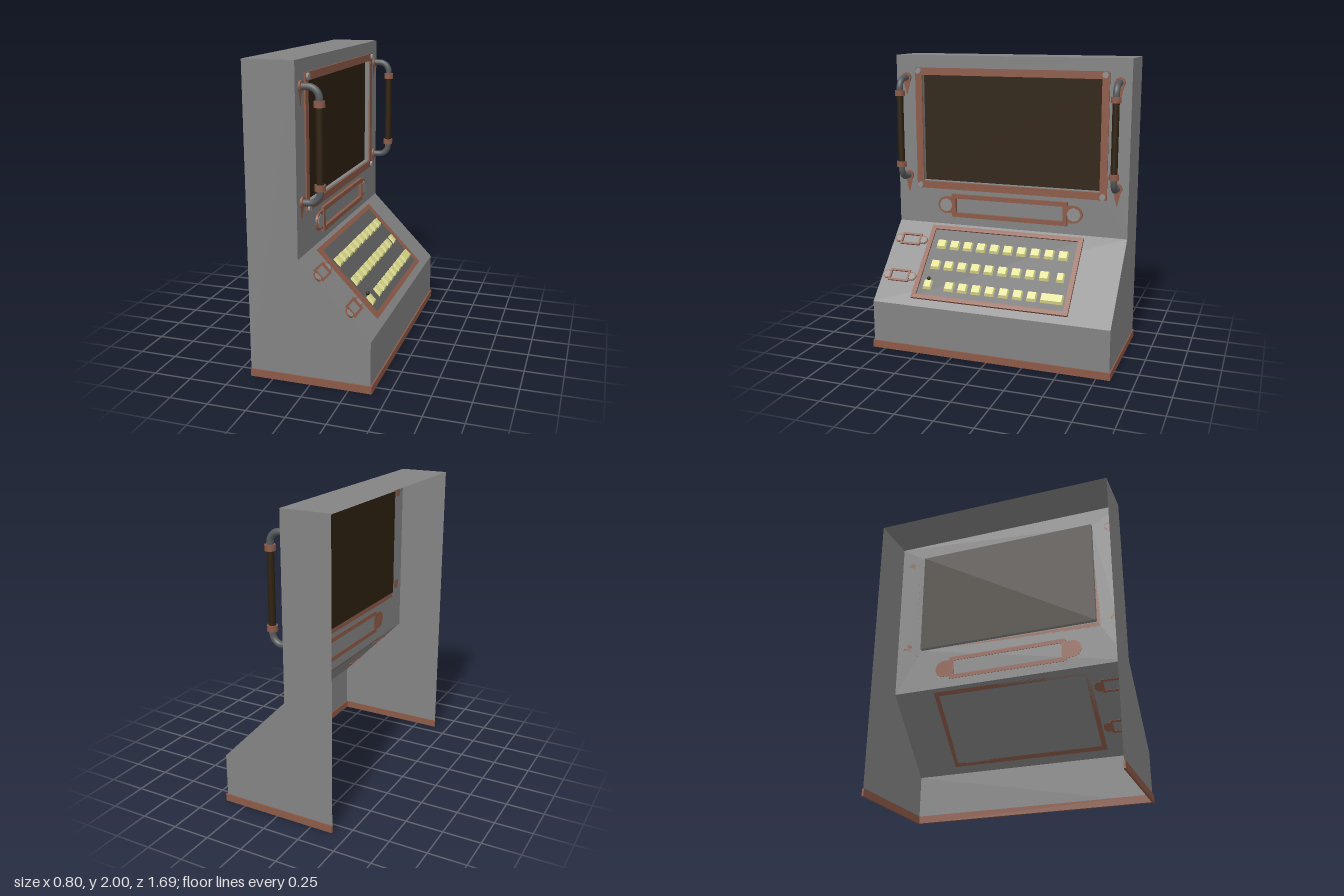
import * as THREE from 'three';

const mat = (name, color, double) => {
  const m = new THREE.MeshStandardMaterial({ color });
  m.name = name;
  if (double) m.side = THREE.DoubleSide;
  return m;
};

export function createModel() {
  const casing = mat('casing grey', 0x838383, true);
  const copper = mat('copper trim', 0x8c5a48, true);
  const glass = mat('dark brown', 0x2e2110, true);
  const bed = mat('key bed grey', 0x5c5c5c);
  const keyColor = mat('key cream', 0xdad88a);
  const pipe = mat('pipe steel', 0x55585a);
  const steel = mat('screw grey', 0x8e8e8e);

  const model = new THREE.Group();
  model.name = 'terminal';
  const add = (parent, name, geo, material, x = 0, y = 0, z = 0) => {
    const m = new THREE.Mesh(geo, material);
    m.name = name;
    m.position.set(x, y, z);
    parent.add(m);
    return m;
  };
  const box = (w, h, d) => new THREE.BoxGeometry(w, h, d);
  const rect = (T, x0, y0, x1, y1) => {
    const s = new T();
    s.moveTo(x0, y0).lineTo(x1, y0).lineTo(x1, y1).lineTo(x0, y1).closePath();
    return s;
  };
  const extrude = (shape, depth) =>
    new THREE.ExtrudeGeometry(shape, { depth, bevelEnabled: false, curveSegments: 10 });
  // Flat cylinder whose axis points out of a panel
  const disc = (r, h, sides) => new THREE.CylinderGeometry(r, r, h, sides).rotateX(Math.PI / 2);
  // Rectangular ring lying on a panel
  const ring = (x0, y0, x1, y1, bx, by, depth) => {
    const s = rect(THREE.Shape, x0, y0, x1, y1);
    s.holes.push(rect(THREE.Path, x0 + bx, y0 + by, x1 - bx, y1 - by));
    return extrude(s, depth);
  };

  // Panel groups: local x runs to -z, local y up the panel, local z outwards
  const W = 0.835, W2 = W * 2;
  const panel = (name, x, y, up) => {
    const g = new THREE.Group();
    const right = new THREE.Vector3(0, 0, -1);
    const out = right.clone().cross(up);
    g.quaternion.setFromRotationMatrix(new THREE.Matrix4().makeBasis(right, up, out));
    g.position.set(x, y, 0);
    g.name = name;
    model.add(g);
    return g;
  };
  const upright = new THREE.Vector3(0, 1, 0);
  const slopeUp = new THREE.Vector3(-0.46, 0.475, 0);
  const slopeLen = slopeUp.length();
  slopeUp.normalize();
  const wall = panel('screenWall', -0.07, 0, upright);
  const slope = panel('keyboardSlope', 0.39, 0.335, slopeUp);
  const v = y => (y - 0.335) / slopeUp.y; // height to distance up the slope

  // Casing: two profile sides, top, apron, slope and a pierced wall; back and bottom open
  const side = new THREE.Shape([[-0.4, 0], [0.39, 0], [0.39, 0.335], [-0.07, 0.81], [-0.07, 2], [-0.4, 2]]
    .map(p => new THREE.Vector2(...p)));
  add(model, 'leftSide', new THREE.ShapeGeometry(side), casing, 0, 0, W);
  const far = new THREE.ShapeGeometry(side).scale(-1, 1, 1).rotateY(Math.PI);
  add(model, 'rightSide', far, casing, 0, 0, -W);
  add(model, 'top', new THREE.PlaneGeometry(0.33, W2).rotateX(-Math.PI / 2), casing, -0.235, 2, 0);
  add(model, 'apron', new THREE.PlaneGeometry(W2, 0.335).rotateY(Math.PI / 2), casing, 0.39, 0.1675, 0);
  add(slope, 'slopePanel', new THREE.PlaneGeometry(W2, slopeLen), casing, 0, slopeLen / 2, 0);
  const front = rect(THREE.Shape, -W, 0.81, W, 2);
  front.holes.push(rect(THREE.Path, -0.64, 1.12, 0.64, 1.87));
  add(wall, 'frontWall', new THREE.ShapeGeometry(front), casing);

  // Base trim
  add(model, 'frontTrim', box(0.018, 0.05, 1.686), copper, 0.391, 0.025, 0);
  for (const s of [-1, 1]) add(model, 'sideTrim', box(0.8, 0.05, 0.014), copper, 0, 0.025, s * 0.836);

  // Recessed screen with its reveal, frame and corner screws
  add(wall, 'screen', new THREE.PlaneGeometry(1.28, 0.75), glass, 0, 1.495, -0.03);
  for (const s of [-1, 1]) {
    add(wall, 'screenReveal', new THREE.PlaneGeometry(0.03, 0.75).rotateY(-s * Math.PI / 2), casing, s * 0.64, 1.495, -0.015);
    add(wall, 'screenReveal', new THREE.PlaneGeometry(1.28, 0.03).rotateX(s * Math.PI / 2), casing, 0, 1.495 + s * 0.375, -0.015);
    for (const t of [-1, 1]) add(wall, 'screenScrew', disc(0.021, 0.022, 8), steel, s * 0.663, 1.49 + t * 0.402, 0.014);
  }
  add(wall, 'screenFrame', ring(-0.69, 1.065, 0.69, 1.915, 0.05, 0.05, 0.01), copper);

  // Name plate: ring frame with a rounded tab and a screw at each end
  const namePlate = (parent, cx, cy, hw, hh, border, tabR, tabX, depth) => {
    const g = new THREE.Group();
    g.name = 'namePlate';
    g.position.set(cx, cy, -0.003);
    parent.add(g);
    add(g, 'plateFrame', ring(-hw, -hh, hw, hh, border, border, depth), copper);
    for (const s of [-1, 1]) {
      const tab = new THREE.Shape();
      tab.moveTo(hw - tabX, -tabR).lineTo(0, -tabR).absarc(0, 0, tabR, -Math.PI / 2, Math.PI / 2, false);
      tab.lineTo(hw - tabX, tabR).closePath();
      const m = add(g, 'plateTab', extrude(tab, depth * 0.7), copper, s * tabX);
      if (s < 0) m.rotation.z = Math.PI;
      add(g, 'plateScrew', disc(tabR * 0.8, depth * 0.2, 8), steel, s * tabX, 0, depth * 0.75);
    }
  };
  namePlate(wall, 0, 0.952, 0.422, 0.082, 0.03, 0.06, 0.468, 0.025);
  for (const y of [0.7, 0.49]) namePlate(slope, -0.702, v(y), 0.075, 0.045, 0.014, 0.032, 0.094, 0.015);

  // Keyboard bed and frame
  const v0 = v(0.375), v1 = v(0.79);
  add(slope, 'keyBed', box(1.08, v1 - v0 - 0.03, 0.006), bed, -0.01, (v0 + v1) / 2, 0.004);
  add(slope, 'keyboardFrame', ring(-0.565, v0, 0.545, v1, 0.032, 0.03, 0.018), copper);

  // Tapered keys
  const key = (x, y, w = 0.07, h = 0.068) => {
    const geo = box(w, h, 0.02);
    const p = geo.attributes.position;
    for (let i = 0; i < p.count; i++) {
      if (p.getZ(i) > 0) {
        p.setX(i, p.getX(i) - Math.sign(p.getX(i)) * 0.007);
        p.setY(i, p.getY(i) * 0.75 + 0.006);
      }
    }
    geo.computeVertexNormals();
    add(slope, 'key', geo, keyColor, x, v(y), 0.015);
  };
  for (let i = 0; i < 10; i++) {
    key(-0.455 + i * 0.0985, 0.682);
    if (i < 9) key(-0.455 + i * 0.0985, 0.565);
    if (i < 7) key(-0.31 + i * 0.0985, 0.452);
  }
  key(0.445, 0.565, 0.055);
  key(-0.47, 0.452, 0.062);
  key(0.418, 0.452, 0.155);
  add(slope, 'smallKnob', new THREE.SphereGeometry(0.012, 10, 8), glass, -0.47, v(0.485), 0.022);

  // Handles: grip, collars, bent pipes, wall flanges and rust streaks
  for (const s of [-1, 1]) {
    const h = new THREE.Group();
    h.name = 'handle';
    h.position.set(s * 0.757, 1.4975, 0);
    wall.add(h);
    add(h, 'grip', new THREE.CylinderGeometry(0.023, 0.023, 0.5, 16), glass, 0, 0, 0.12);
    for (const t of [-1, 1]) {
      const path = new THREE.CurvePath();
      const P = (y, z) => new THREE.Vector3(0, t * y, z);
      path.add(new THREE.LineCurve3(P(0.347, 0), P(0.347, 0.05)));
      path.add(new THREE.CubicBezierCurve3(P(0.347, 0.05), P(0.347, 0.09), P(0.317, 0.12), P(0.277, 0.12)));
      path.add(new THREE.LineCurve3(P(0.277, 0.12), P(0.23, 0.12)));
      add(h, 'bentPipe', new THREE.TubeGeometry(path, 24, 0.022, 14), pipe);
      add(h, 'collar', new THREE.CylinderGeometry(0.034, 0.034, 0.038, 12), copper, 0, t * 0.248, 0.12);
      add(h, 'wallFlange', disc(0.036, 0.014, 8), copper, 0, t * 0.347, 0.007);
      const streak = new THREE.Shape();
      streak.moveTo(-0.03, 0).quadraticCurveTo(-0.02, -0.06, 0, -0.125).quadraticCurveTo(0.02, -0.06, 0.03, 0);
      add(h, 'rustStreak', new THREE.ShapeGeometry(streak), copper, 0, t * 0.347, 0.003);
    }
  }
  return model;
}
